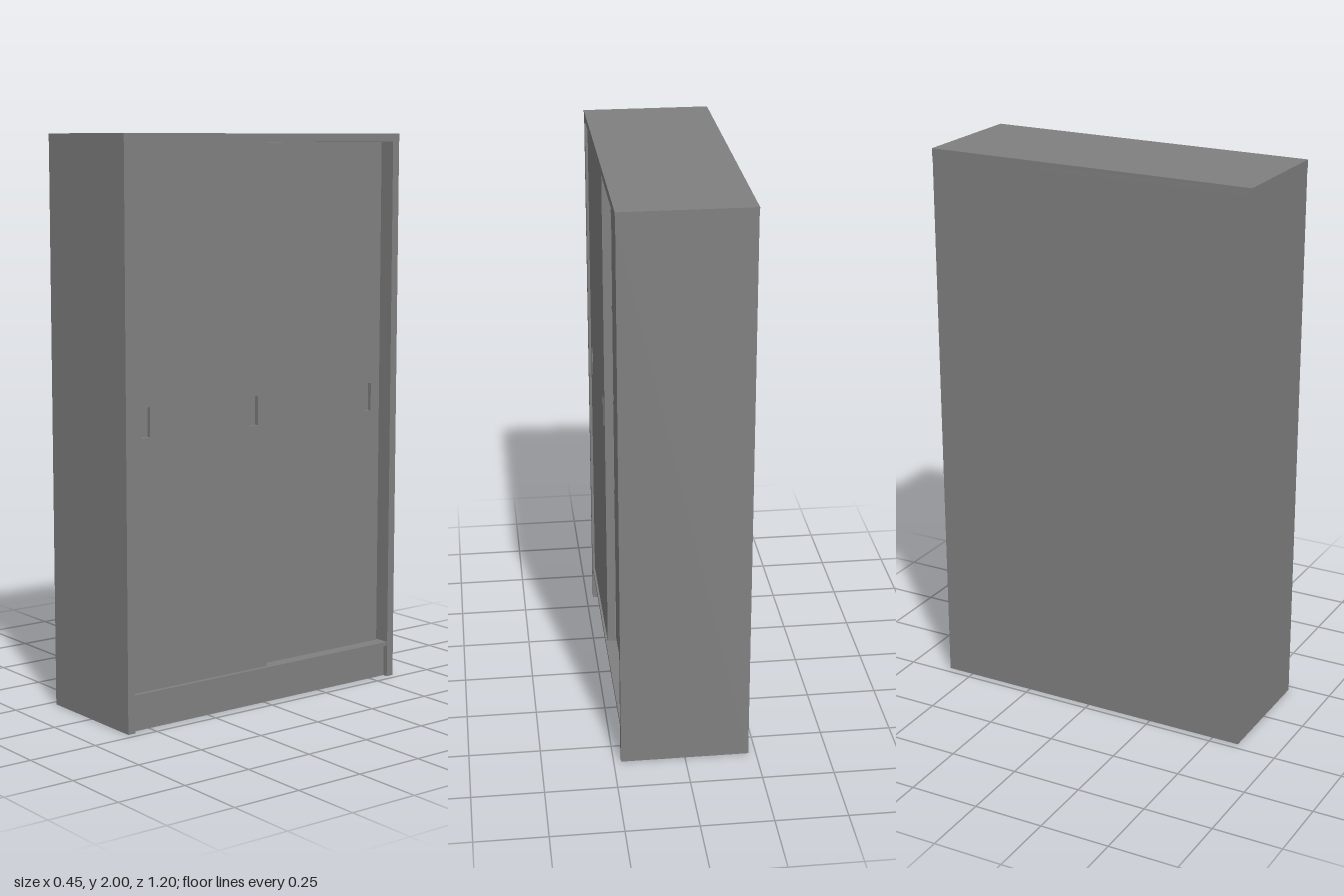
import * as THREE from 'three';

const material = new THREE.MeshStandardMaterial({ color: 0x808080 });

// Box given by its lower and upper bounds on each axis
function board(name, [x0, x1], [y0, y1], [z0, z1]) {
  const mesh = new THREE.Mesh(new THREE.BoxGeometry(x1 - x0, y1 - y0, z1 - z0), material);
  mesh.position.set((x0 + x1) / 2, (y0 + y1) / 2, (z0 + z1) / 2);
  mesh.name = name;
  return mesh;
}

const rect = (x0, y0, x1, y1) => [[x0, y0], [x1, y0], [x1, y1], [x0, y1]].map(p => new THREE.Vector2(...p));

// Sliding door facing +x, with recessed finger pulls centred at the given z positions
function slidingDoor(name, frontX, z0, z1, pulls) {
  const y0 = 0.134, y1 = 1.97, thickness = 0.03, pocket = 0.015;
  const door = new THREE.Group();
  door.name = name;
  const shape = new THREE.Shape(rect(-z1, y0, -z0, y1));
  for (const z of pulls) {
    shape.holes.push(new THREE.Path(rect(-z - 0.016, 1.0, -z + 0.016, 1.102)));
  }
  const geometry = new THREE.ExtrudeGeometry(shape, { depth: pocket, bevelEnabled: false });
  geometry.rotateY(Math.PI / 2).translate(frontX - pocket, 0, 0);
  const face = new THREE.Mesh(geometry, material);
  face.name = 'doorFace';
  door.add(face, board('doorBacking', [frontX - thickness, frontX - pocket], [y0, y1], [z0, z1]));
  return door;
}

export function createModel() {
  const model = new THREE.Group();
  model.name = 'slidingDoorCabinet';
  const X = 0.225, Z = 0.6, wall = 0.03, back = 0.018, top = 1.972;
  const inner = [-Z + wall, Z - wall];

  // Side and back walls as one U-shaped carcass, a hair inside the top's edge
  const cx = X - 0.001, cz = Z - 0.001;
  const outline = new THREE.Shape([
    [-cx, -cz], [cx, -cz], [cx, -Z + wall], [-X + back, -Z + wall],
    [-X + back, Z - wall], [cx, Z - wall], [cx, cz], [-cx, cz],
  ].map(p => new THREE.Vector2(...p)));
  const carcass = new THREE.Mesh(
    new THREE.ExtrudeGeometry(outline, { depth: top, bevelEnabled: false }).rotateX(-Math.PI / 2), material);
  carcass.name = 'carcass';
  model.add(carcass);

  // Top, floor and recessed plinth
  model.add(board('top', [-X, X], [top, 2], [-Z, Z]));
  model.add(board('floor', [-X + back, X - 0.003], [0.116, 0.131], inner));
  model.add(board('plinth', [X - 0.038, X - 0.02], [0, 0.116], inner));

  // Shelves behind the doors
  for (const y of [0.497, 0.878, 1.258, 1.64]) {
    model.add(board('shelf', [-X + back, 0.14], [y, y + 0.016], inner));
  }

  // Two doors on separate tracks
  model.add(slidingDoor('frontDoor', 0.215, -0.002, 0.566, [0.512, 0.055]));
  model.add(slidingDoor('rearDoor', 0.182, -0.553, 0.014, [-0.497]));
  return model;
}
